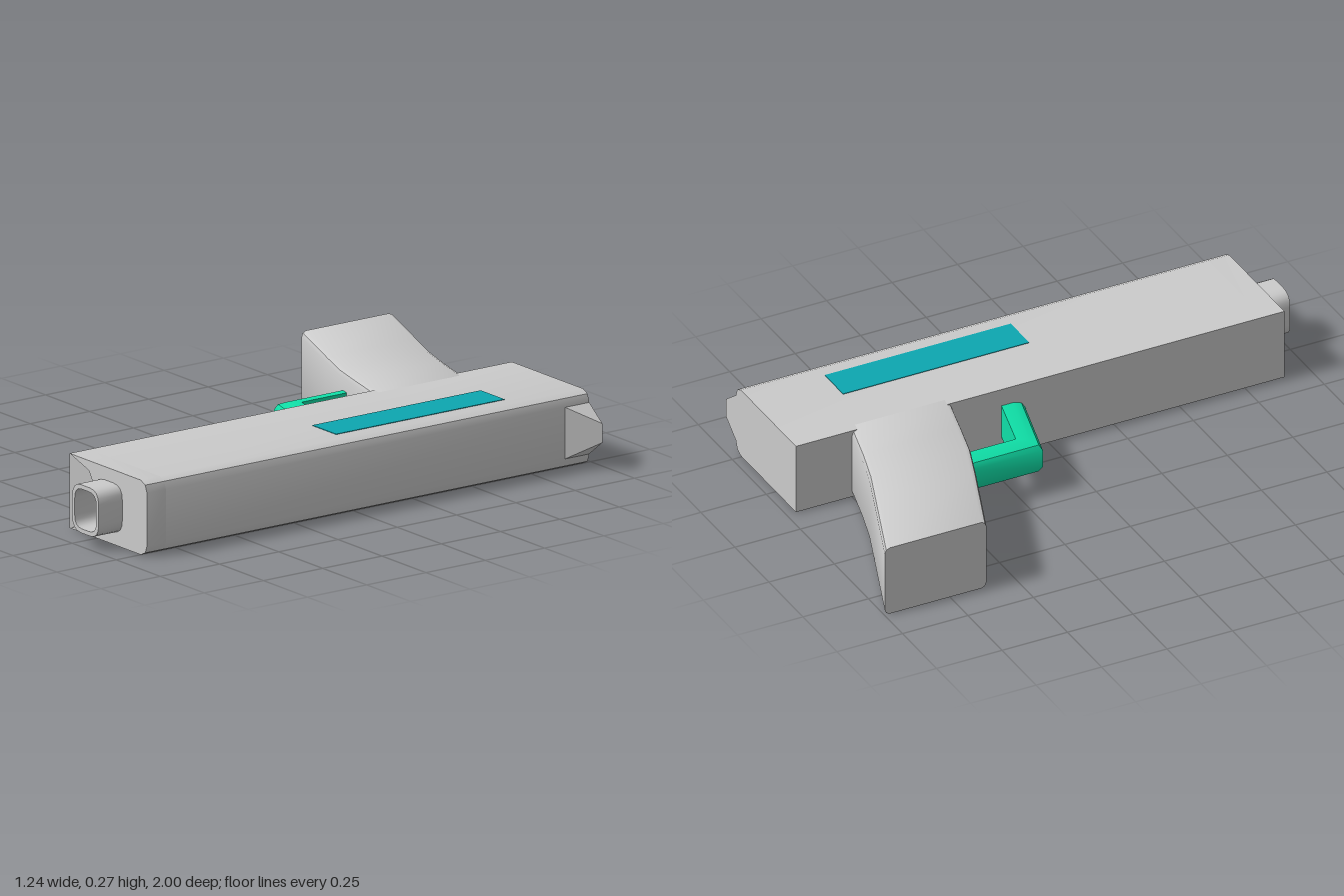
import * as THREE from 'three';
import { toCreasedNormals } from 'three/addons/utils/BufferGeometryUtils.js';
import { ConvexGeometry } from 'three/addons/geometries/ConvexGeometry.js';

const Y0 = 0.002, Y1 = 0.265, CY = (Y0 + Y1) / 2;
const grey = new THREE.MeshStandardMaterial({ color: 0xcccccc });
const green = new THREE.MeshStandardMaterial({ color: 0x0fe0a8 });
const teal = new THREE.MeshStandardMaterial({ color: 0x0da7b0 });

function add(parent, name, geometry, material = grey) {
  const mesh = new THREE.Mesh(geometry, material);
  mesh.name = name;
  parent.add(mesh);
  return mesh;
}

// Extrude an x-y outline from z0 to z1
function extrude(shape, z0, z1) {
  const g = new THREE.ExtrudeGeometry(shape, { depth: z1 - z0, bevelEnabled: false, curveSegments: 4 });
  return toCreasedNormals(g.translate(0, 0, z0), 0.6);
}
const outline = (pts) => new THREE.Shape(pts.map(([x, y]) => new THREE.Vector2(x, y)));

// Sweep a section of [u, y] points through stations [x, z at u=0, x, z at u=1]
function sweep(section, stations) {
  const n = section.length, pos = [], idx = [];
  for (const [xa, za, xb, zb] of stations)
    for (const [u, y] of section) pos.push(xa + (xb - xa) * u, y, za + (zb - za) * u);
  for (let i = 0; i < stations.length - 1; i++)
    for (let j = 0; j < n; j++) {
      const a = i * n + j, b = i * n + (j + 1) % n;
      idx.push(a, b, b + n, a, b + n, a + n);
    }
  const e = (stations.length - 1) * n;
  for (let j = 1; j < n - 1; j++) idx.push(0, j + 1, j, e, e + j, e + j + 1);
  const g = new THREE.BufferGeometry();
  g.setAttribute('position', new THREE.Float32BufferAttribute(pos, 3));
  g.setIndex(idx);
  return toCreasedNormals(g, 0.6);
}

// Rounded rectangle centred on (cx, cy)
function roundRect(Type, cx, cy, w, h, r) {
  const s = new Type(), x = cx - w / 2, y = cy - h / 2;
  s.moveTo(x + r, y).lineTo(x + w - r, y).quadraticCurveTo(x + w, y, x + w, y + r);
  s.lineTo(x + w, y + h - r).quadraticCurveTo(x + w, y + h, x + w - r, y + h);
  s.lineTo(x + r, y + h).quadraticCurveTo(x, y + h, x, y + h - r);
  s.lineTo(x, y + r).quadraticCurveTo(x, y, x + r, y);
  return s;
}

const v = (x, y, z) => new THREE.Vector3(x, y, z);

export function createModel() {
  const group = new THREE.Group();
  group.name = 'toyBlaster';

  // Long body with two bevelled edges, lying on its side
  const bevelled = [[0.1, Y0], [0.505, Y0], [0.53, 0.014], [0.54, 0.04],
    [0.54, 0.227], [0.53, 0.253], [0.505, Y1], [0.1, Y1]];
  add(group, 'body', extrude(outline(bevelled), -0.965, 0.82));

  // Nose of the body with a sloping recess beside the barrel
  const notch = [[0.21, 0.23], [0.24, 0.18], [0.24, 0.087], [0.21, 0.037]];
  add(group, 'nose', extrude(outline([...bevelled, ...notch]), 0.82, 0.9));
  const ramp = [];
  for (const y of [Y0, Y1]) ramp.push(v(0.1, y, 0.9), v(0.1, y, 0.815), v(0.245, y, 0.815));
  add(group, 'noseRamp', new ConvexGeometry(ramp));

  // Hollow barrel
  const barrel = roundRect(THREE.Shape, 0.325, CY, 0.15, 0.17, 0.05);
  barrel.holes.push(roundRect(THREE.Path, 0.325, CY, 0.122, 0.14, 0.04));
  add(group, 'barrel', extrude(barrel, 0.89, 1));

  // Curved grip with softened edges
  const gripSection = [[0.05, Y0], [0.95, Y0], [0.985, 0.008], [1, 0.022],
    [1, 0.245], [0.985, 0.259], [0.95, Y1], [0.05, Y1],
    [0.015, 0.259], [0, 0.245], [0, 0.022], [0.015, 0.008]];
  add(group, 'grip', sweep(gripSection, [
    [0.13, -0.742, 0.13, -0.362],
    [-0.05, -0.79, -0.05, -0.408],
    [-0.18, -0.83, -0.18, -0.443],
    [-0.32, -0.884, -0.32, -0.495],
    [-0.62, -1, -0.62, -0.612],
  ]));

  // Trigger guard, bevelled on its outer side
  const guardSection = [[0, 0.075], [0.5, 0.075], [0.85, 0.085], [1, 0.105],
    [1, 0.17], [0.85, 0.19], [0.5, 0.2], [0, 0.2]];
  add(group, 'triggerGuard', sweep(guardSection, [
    [0.12, -0.175, 0.12, -0.085],
    [-0.11, -0.235, -0.175, -0.165],
    [-0.11, -0.47, -0.175, -0.47],
  ]), green);

  // Wedge-shaped rear sight
  add(group, 'rearSight', new ConvexGeometry([
    v(0.53, 0.035, -0.965), v(0.53, 0.232, -0.965), v(0.615, 0.1, -0.965), v(0.615, 0.167, -0.965),
    v(0.53, 0.035, -0.85), v(0.53, 0.232, -0.85),
  ]));

  // Coloured panels on both flat sides
  for (const [name, y] of [['rightPanel', Y1], ['leftPanel', Y0]]) {
    add(group, name, new THREE.BoxGeometry(0.135, 0.004, 0.71), teal).position.set(0.388, y, -0.315);
  }
  return group;
}
